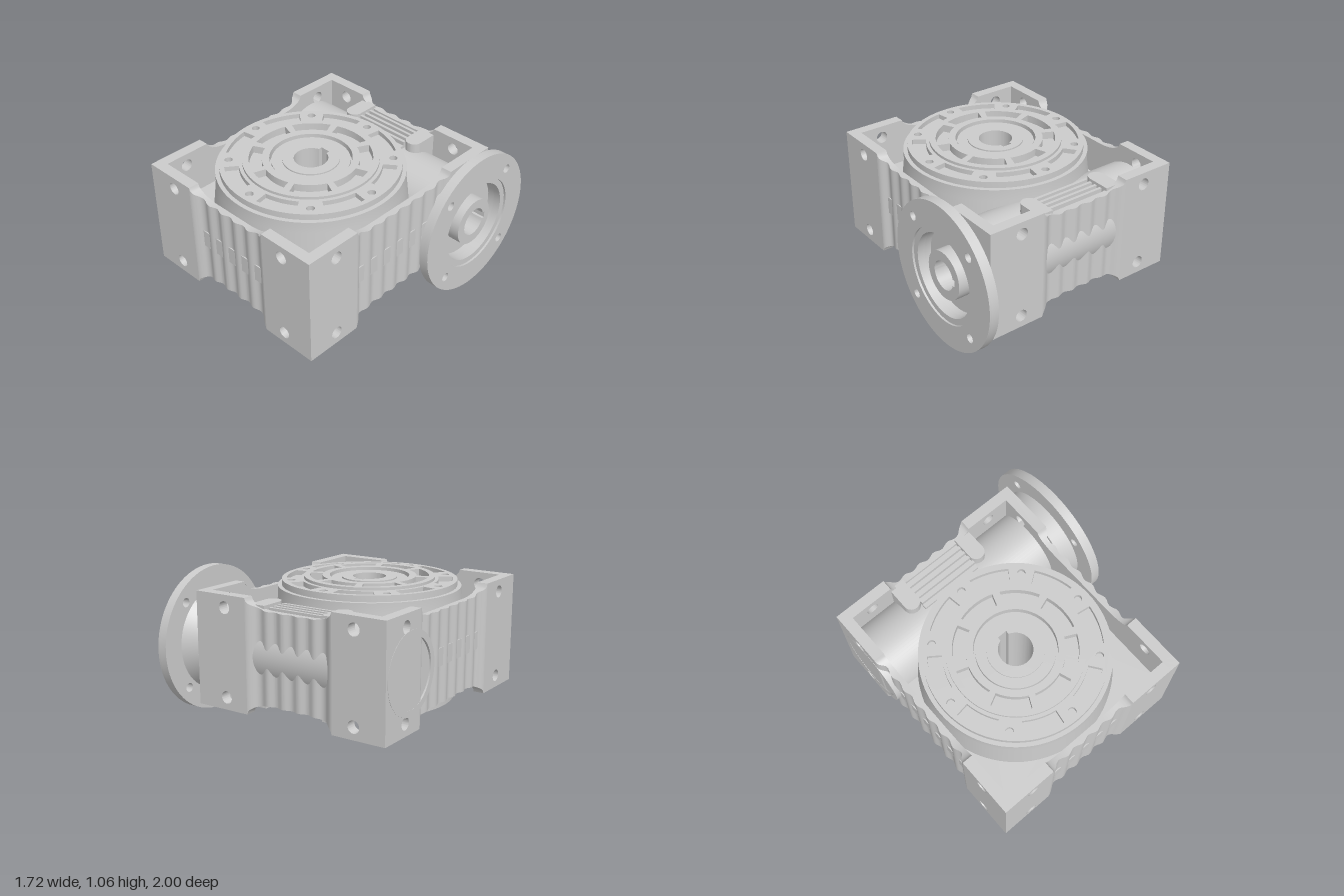
import * as THREE from 'three';
import { toCreasedNormals } from 'three/addons/utils/BufferGeometryUtils.js';

const MID = 0.53;            // mid height of the housing
const HALF = 0.41;           // half height of the corner blocks
const CX = -0.09, CZ = 0.21; // output shaft axis
const WZ = -0.47;            // input shaft axis

const mat = new THREE.MeshStandardMaterial({ color: 0xcccccc, side: THREE.DoubleSide });

function add(parent, name, geo, x = 0, y = 0, z = 0) {
  const m = new THREE.Mesh(toCreasedNormals(geo, 0.5), mat);
  m.name = name;
  m.position.set(x, y, z);
  parent.add(m);
  return m;
}
const box = (w, h, d) => new THREE.BoxGeometry(w, h, d);
const lathe = (pts) => new THREE.LatheGeometry(pts.map(([r, h]) => new THREE.Vector2(r, h)), 80);
const extrude = (shape, depth) =>
  new THREE.ExtrudeGeometry(shape, { depth, bevelEnabled: false, curveSegments: 40 });

function circle(r, x = 0, y = 0) {
  const s = new THREE.Shape();
  s.absarc(x, y, r, 0, Math.PI * 2, false);
  return s;
}
function rect(x0, y0, x1, y1) {
  return new THREE.Shape([[x0, y0], [x1, y0], [x1, y1], [x0, y1]].map((p) => new THREE.Vector2(...p)));
}
// Ring sector pocket
function sector(r0, r1, mid, half) {
  const s = new THREE.Path();
  s.absarc(0, 0, r1, mid - half, mid + half, false);
  s.absarc(0, 0, r0, mid + half, mid - half, true);
  s.closePath();
  return s;
}
// Sleeve with a keyway pointing along +x of the shape
function keyedSleeve(R, r, halfKey, keyTop, depth) {
  const s = circle(R), a = Math.asin(halfKey / r), k = new THREE.Path();
  k.absarc(0, 0, r, a, Math.PI * 2 - a, false);
  k.lineTo(keyTop, -halfKey);
  k.lineTo(keyTop, halfKey);
  k.closePath();
  s.holes.push(k);
  return extrude(s, depth);
}

// Lowered, rippled middle part of a wall; outer face of the corner blocks is z = 0
function rippledWall(a, b) {
  const N = 90, pos = [], idx = [], L = b - a;
  for (let i = 0; i <= N; i++) {
    const u = (L * i) / N, t = Math.min(u, L - u);
    const k = Math.max(0, 1 - t / 0.2);
    const h = 0.33 + 0.08 * (1 - Math.sqrt(1 - k * k));
    const e = THREE.MathUtils.smoothstep(t, 0, 0.07);
    const d = -e * (0.036 + 0.009 * Math.cos(((u - L / 2) / 0.13) * Math.PI * 2));
    pos.push(a + u, h, d, a + u, -h, d, a + u, -h, -0.08, a + u, h, -0.08);
    if (i < N) for (let j = 0; j < 4; j++) {
      const p = i * 4 + j, q = i * 4 + ((j + 1) % 4);
      idx.push(p, q, p + 4, q, q + 4, p + 4);
    }
  }
  const g = new THREE.BufferGeometry();
  g.setAttribute('position', new THREE.Float32BufferAttribute(pos, 3));
  g.setIndex(idx);
  return g;
}

// One housing wall: two drilled corner plates joined by a rippled panel
function wall(name, u0, a, b, u1, holes) {
  const g = new THREE.Group();
  g.name = name;
  [[u0, a], [b, u1]].forEach(([x0, x1], i) => {
    const s = rect(x0, -HALF, x1, HALF);
    for (const y of [-0.32, 0.32]) s.holes.push(circle(0.045, holes[i], y));
    add(g, 'cornerPlate', extrude(s, 0.08), 0, 0, -0.08);
  });
  add(g, 'rippledPanel', rippledWall(a, b));
  add(g, 'midRib', box(b - a - 0.1, 0.13, 0.04), (a + b) / 2, 0, -0.056);
  return g;
}

// Cover with pockets and bolt holes; built upward from the mid plane
function cover() {
  const g = new THREE.Group();
  g.name = 'cover';
  add(g, 'drum', lathe([[0.19, 0], [0.19, 0.43], [0.275, 0.43], [0.275, 0.395], [0.61, 0.395],
    [0.635, 0.395], [0.635, 0.385], [0.665, 0.385], [0.665, 0.3], [0.69, 0.1], [0.69, 0]]));
  const inner = circle(0.475), outer = circle(0.635);
  inner.holes.push(circle(0.288));
  outer.holes.push(circle(0.474));
  for (let i = 0; i < 8; i++) {
    const a = (i * Math.PI) / 4, b = a + Math.PI / 8;
    inner.holes.push(sector(0.34, 0.43, a, 0.33));
    outer.holes.push(sector(0.5, 0.6, b, 0.24));
    outer.holes.push(circle(0.028, 0.57 * Math.cos(a), 0.57 * Math.sin(a)));
  }
  add(g, 'innerRing', extrude(inner, 0.06).rotateX(-Math.PI / 2), 0, 0.39, 0);
  add(g, 'boltRing', extrude(outer, 0.04).rotateX(-Math.PI / 2), 0, 0.39, 0);
  return g;
}

// Lugs and slats over the input shaft housing
function lugs() {
  const g = new THREE.Group();
  g.name = 'lugs';
  for (const x of [-0.39, 0.2]) {
    const s = new THREE.Shape();
    s.moveTo(-0.06, 0.72);
    s.lineTo(-0.06, 0.55);
    s.absarc(0, 0.55, 0.06, Math.PI, Math.PI * 2, false);
    s.lineTo(0.06, 0.72);
    s.closePath();
    add(g, 'lug', extrude(s, 0.2).rotateX(-Math.PI / 2), x, 0.16, 0);
  }
  add(g, 'slatBase', box(0.48, 0.1, 0.25), -0.095, 0.26, -0.59);
  for (let i = 0; i < 4; i++) add(g, 'slat', box(0.48, 0.04, 0.022), -0.095, 0.32, -0.66 + i * 0.05);
  return g;
}

export function createModel() {
  const model = new THREE.Group();
  model.name = 'wormGearbox';

  // Housing walls
  const walls = [
    [wall('frontWall', -0.86, -0.45, 0.26, 0.69, [-0.62, 0.44]), 0, 1, 0],
    [wall('backWall', -0.69, -0.26, 0.45, 0.86, [-0.44, 0.62]), 0, -0.78, Math.PI],
    [wall('leftWall', -1, -0.57, 0.36, 0.78, [-0.76, 0.54]), 0.69, 0, Math.PI / 2],
    [wall('rightWall', -0.78, -0.36, 0.57, 1, [-0.54, 0.76]), -0.86, 0, -Math.PI / 2],
  ];
  for (const [w, x, z, ry] of walls) {
    w.position.set(x, MID, z);
    w.rotation.y = ry;
    model.add(w);
  }

  // Middle web closing the housing, open around the drum
  const web = rect(-0.8, -0.94, 0.63, 0.72);
  web.holes.push(circle(0.5, CX, -CZ));
  add(model, 'web', extrude(web, 0.13).rotateX(-Math.PI / 2), 0, MID - 0.065, 0);

  // Covers and lugs, same above and below
  for (const side of [0, 1]) {
    const c = cover(), l = lugs();
    c.position.set(CX, MID, CZ);
    if (side) c.rotation.x = Math.PI;
    l.position.y = MID;
    if (side) {
      // turned over, then turned back so the lugs stay at the rear
      l.rotation.z = Math.PI;
      l.position.x = -0.19;
    }
    model.add(c, l);
  }

  // Hollow output shaft with keyway
  add(model, 'outputShaft', keyedSleeve(0.2, 0.12, 0.037, 0.142, 0.88)
    .rotateZ(Math.PI / 2).rotateX(-Math.PI / 2), CX, MID - 0.44, CZ);

  // Input shaft housing with end cap
  const toX = (g) => g.rotateZ(-Math.PI / 2);
  add(model, 'inputHousing', toX(lathe([[0, -0.855], [0.235, -0.855], [0.235, -0.845], [0.245, -0.845],
    [0.245, -0.862], [0.29, -0.862], [0.29, 0.7], [0.14, 0.7], [0.14, 0.4], [0, 0.4]])), 0, MID, WZ);

  // Motor flange
  add(model, 'flangeNeck', toX(lathe([[0.14, 0.69], [0.315, 0.69], [0.375, 0.79], [0.3, 0.79],
    [0.3, 0.74], [0.14, 0.74], [0.14, 0.69]])), 0, MID, WZ);
  for (const [x, depth, r] of [[0.79, 0.055, 0.3], [0.845, 0.015, 0.345]]) {
    const s = circle(0.53);
    s.holes.push(circle(r));
    for (const sx of [-1, 1]) for (const sy of [-1, 1]) s.holes.push(circle(0.033, sx * 0.31, sy * 0.31));
    add(model, 'flangePlate', extrude(s, depth).rotateY(Math.PI / 2), x, MID, WZ);
  }
  add(model, 'inputShaft', keyedSleeve(0.175, 0.105, 0.025, 0.122, 0.43).rotateY(Math.PI / 2), 0.41, MID, WZ);

  return model;
}
